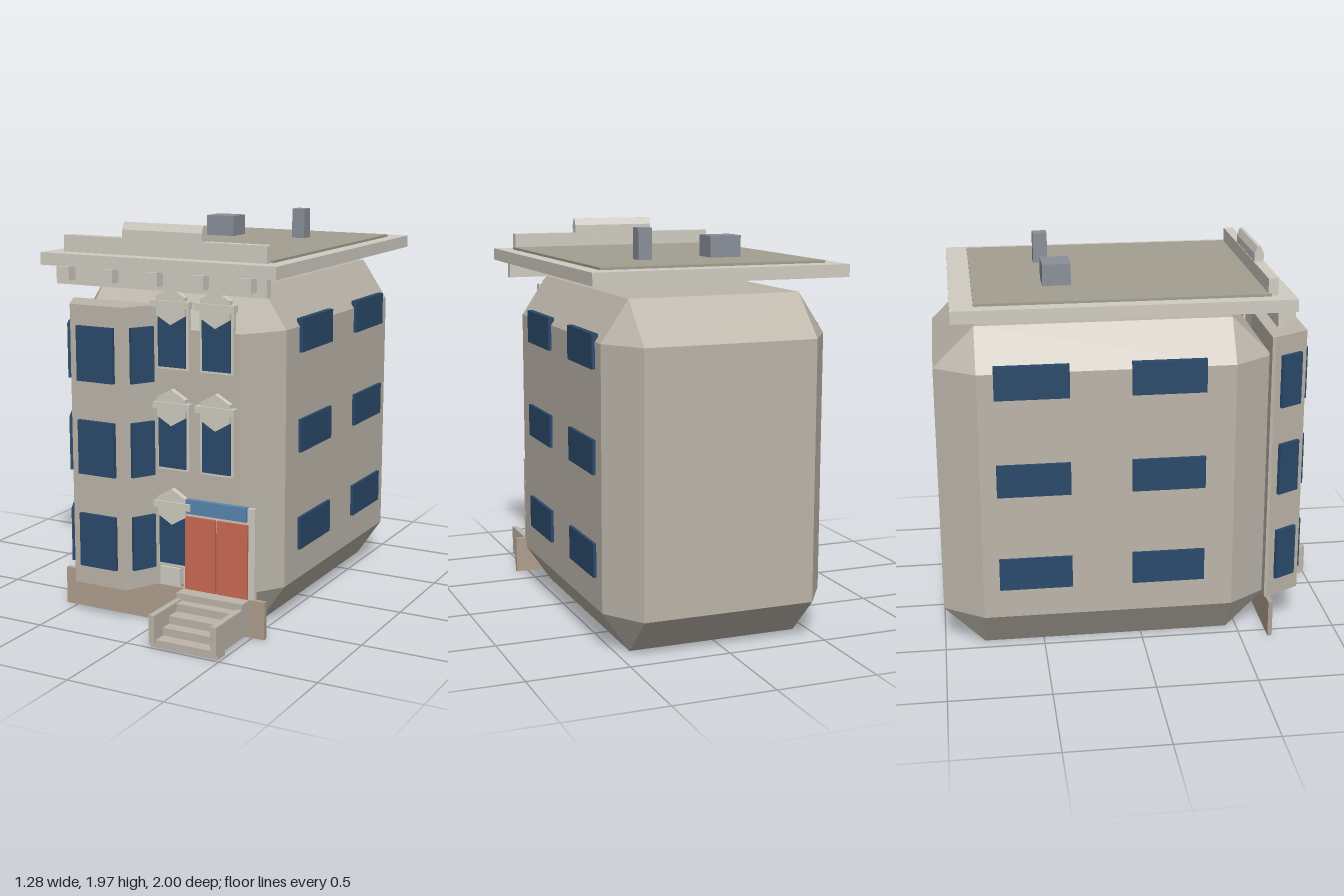
import * as THREE from 'three';
import { ConvexGeometry } from 'three/addons/geometries/ConvexGeometry.js';

const mat = (color) => new THREE.MeshStandardMaterial({ color, flatShading: true });

export function createModel() {
  const house = new THREE.Group();
  house.name = 'townhouse';
  const wall = mat(0xbcb5aa), trim = mat(0xd0ccc2), glass = mat(0x2a4a6b), red = mat(0xcc6a54);
  const brown = mat(0xb0a090), roofMat = mat(0xa39f90), metal = mat(0x8a8f98), paleGlass = mat(0x5a86b0);

  const add = (name, geometry, material) => {
    const mesh = new THREE.Mesh(geometry, material);
    mesh.name = name;
    house.add(mesh);
    return mesh;
  };
  // Box given by its limits on each axis
  const box = (name, material, x0, x1, y0, y1, z0, z1) => {
    const mesh = add(name, new THREE.BoxGeometry(x1 - x0, y1 - y0, z1 - z0), material);
    mesh.position.set((x0 + x1) / 2, (y0 + y1) / 2, (z0 + z1) / 2);
    return mesh;
  };

  // Main block: a box with every edge bevelled
  const half = [0.565, 0.835, 0.8225], inset = [0.135, 0.2, 0.2];
  const corners = [];
  for (const sx of [-1, 1]) for (const sy of [-1, 1]) for (const sz of [-1, 1]) {
    for (let axis = 0; axis < 3; axis++) {
      const p = [sx, sy, sz].map((s, i) => s * (half[i] - (i === axis ? 0 : inset[i])));
      corners.push(new THREE.Vector3(...p));
    }
  }
  add('mainBlock', new ConvexGeometry(corners), wall).position.set(0, 0.835, -0.1775);

  // Side windows
  for (const side of [-1, 1]) for (const y of [0.435, 0.93, 1.425]) for (const z of [0.12, -0.54]) {
    const w = add('sideWindow', new THREE.BoxGeometry(0.03, 0.165, 0.36), glass);
    w.position.set(side * 0.565, y, z);
  }

  // Base plate along the front
  box('basePlate', brown, -0.565, 0.565, 0, 0.19, 0.64, 0.663);

  // Bay with slanted sides
  const bayX = -0.255;
  const bay = new THREE.Shape([[-0.245, -0.63], [0.245, -0.63], [0.245, -0.645], [0.145, -0.825],
    [-0.145, -0.825], [-0.245, -0.645]].map(([x, y]) => new THREE.Vector2(x, y)));
  const bayGeometry = new THREE.ExtrudeGeometry(bay, { depth: 1.39, bevelEnabled: false });
  bayGeometry.rotateX(-Math.PI / 2);
  add('bay', bayGeometry, wall).position.set(bayX, 0.19, 0);
  for (const y of [0.42, 0.887, 1.347]) {
    add('bayWindow', new THREE.BoxGeometry(0.205, 0.268, 0.03), glass).position.set(bayX, y, 0.828);
    for (const side of [-1, 1]) {
      const w = add('baySideWindow', new THREE.BoxGeometry(0.125, 0.268, 0.03), glass);
      w.position.set(bayX + side * 0.197, y, 0.737);
      w.rotation.y = side * Math.atan2(0.18, 0.1);
    }
  }

  // Facade windows with six-sided hoods
  const facadeWindow = (x, y0, hoodY) => {
    box('windowFrame', trim, x - 0.09, x + 0.09, y0 - 0.012, hoodY, 0.635, 0.656);
    box('windowPane', glass, x - 0.075, x + 0.075, y0, hoodY - 0.045, 0.64, 0.664);
    const hood = new THREE.CylinderGeometry(0.09, 0.09, 0.03, 6);
    hood.rotateX(Math.PI / 2);
    add('windowHood', hood, trim).position.set(x, hoodY, 0.659);
    box('hoodBand', trim, x - 0.105, x + 0.105, hoodY - 0.008, hoodY + 0.026, 0.645, 0.684);
  };
  for (const x of [0.065, 0.305]) {
    facadeWindow(x, 0.79, 1.09);
    facadeWindow(x, 1.285, 1.58);
  }
  facadeWindow(0.065, 0.305, 0.598);
  box('lowPanel', trim, -0.01, 0.1, 0.19, 0.283, 0.64, 0.66);

  // Double door, transom and surround
  box('doorFrame', trim, 0.12, 0.51, 0.19, 0.64, 0.635, 0.657);
  box('leftDoor', red, 0.31, 0.475, 0.19, 0.56, 0.645, 0.668);
  box('rightDoor', red, 0.135, 0.302, 0.19, 0.56, 0.645, 0.668);
  box('transom', paleGlass, 0.135, 0.47, 0.575, 0.645, 0.64, 0.672);

  // Front stairs with side walls
  const fronts = [0.985, 0.92, 0.86, 0.79];
  fronts.forEach((z, i) => box('step', wall, 0.155, 0.455, i * 0.039, (i + 1) * 0.039, z - 0.08, z));
  box('landing', wall, 0.125, 0.485, 0.156, 0.19, 0.645, 0.738);
  for (const x of [0.125, 0.455]) box('stairWall', wall, x, x + 0.03, 0.022, 0.163, 0.645, 1.0);
  for (const x of [0.125, 0.455]) box('stairFoot', wall, x, x + 0.03, 0, 0.022, 0.91, 0.985);

  // Cornice, frieze and brackets
  box('corniceSlab', trim, -0.64, 0.64, 1.742, 1.803, -0.91, 0.715);
  box('frieze', trim, -0.575, 0.575, 1.65, 1.742, 0.635, 0.675);
  for (let i = -2; i <= 2; i++) {
    box('bracket', trim, i * 0.247 - 0.029, i * 0.247 + 0.029, 1.675, 1.742, 0.66, 0.732);
  }

  // Roof surface, parapet and ridged crest
  box('roofSurface', roofMat, -0.57, 0.567, 1.8, 1.815, -0.8, 0.6);
  box('parapet', trim, -0.555, 0.555, 1.8, 1.885, 0.587, 0.635);
  const crest = new THREE.Shape([[-0.023, 0], [0.023, 0], [0.023, 0.04], [0.008, 0.075],
    [-0.008, 0.075], [-0.023, 0.04]].map(([x, y]) => new THREE.Vector2(x, y)));
  const crestGeometry = new THREE.ExtrudeGeometry(crest, { depth: 0.435, bevelEnabled: false });
  crestGeometry.rotateY(Math.PI / 2);
  add('parapetCrest', crestGeometry, trim).position.set(-0.218, 1.885, 0.613);

  // Rooftop boxes
  box('roofVent', metal, -0.283, -0.123, 1.8, 1.92, -0.46, -0.322);
  box('chimney', metal, 0.187, 0.257, 1.8, 1.967, -0.472, -0.4);

  return house;
}
